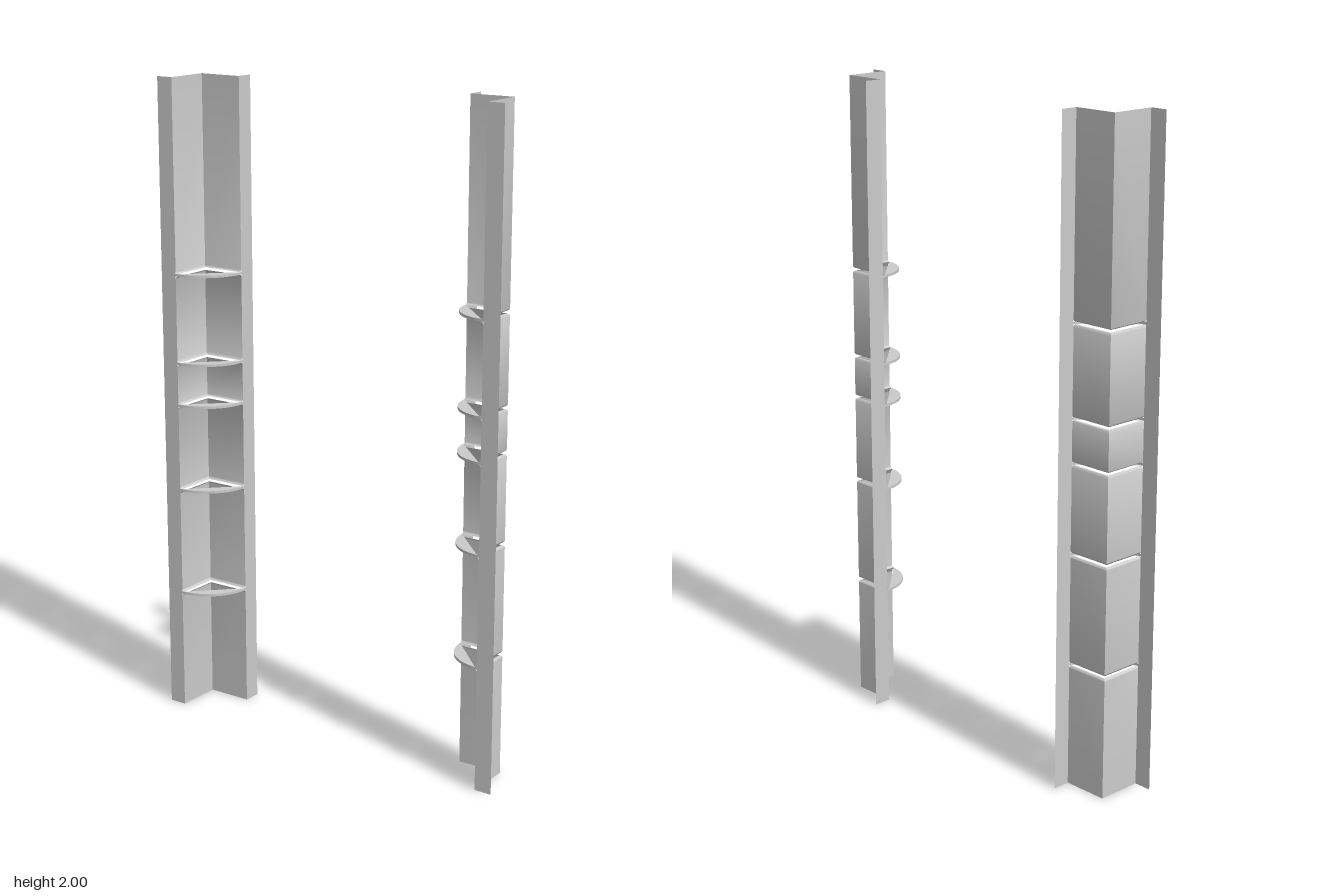
import * as THREE from 'three';
import { toCreasedNormals } from 'three/addons/utils/BufferGeometryUtils.js';

const HEIGHT = 2;
const WALL = 0.142;               // width of each wall of the angle
const FLANGE = 0.055;             // width of the outer lips
const CX = 0.548, CZ = -0.043;    // corner of the angle
const SHELVES = [0.38, 0.72, 0.993, 1.126, 1.403];
const HALF = 0.004;               // half thickness of a folded shelf
const BEND = 0.007;               // radius of the bend into a shelf

const material = new THREE.MeshStandardMaterial({ color: 0xcccccc, side: THREE.DoubleSide });

function part(name, geometry) {
  const mesh = new THREE.Mesh(geometry, material);
  mesh.name = name;
  return mesh;
}

// Surface through rows of [x, y, z] points
function loft(rows) {
  const n = rows[0].length, index = [];
  for (let r = 0; r < rows.length - 1; r++) {
    for (let i = 0; i < n - 1; i++) {
      const a = r * n + i, b = a + 1, c = a + n, d = c + 1;
      index.push(a, b, d, a, d, c);
    }
  }
  const geometry = new THREE.BufferGeometry();
  geometry.setAttribute('position', new THREE.Float32BufferAttribute(rows.flat(2), 3));
  geometry.setIndex(index);
  return toCreasedNormals(geometry, 0.7);
}

// L-shaped row of the wall, moved inward by d
const wallRow = (d, y) => [
  [CX - d, y, CZ + WALL], [CX - d, y, CZ + d], [CX - WALL, y, CZ + d],
];

// Rows of the rounded bend from the wall into a shelf; side is -1 below, 1 above
function bendRows(y, side) {
  const rows = [];
  for (let i = 0; i <= 5; i++) {
    const t = (i / 5) * Math.PI / 2;
    rows.push(wallRow(BEND * (1 - Math.cos(t)), y + side * (HALF + BEND * (1 - Math.sin(t)))));
  }
  return rows;
}

// Hollow quarter-round shelf, open at the back
function createShelf(y) {
  const shelf = new THREE.Group();
  shelf.name = 'shelf';
  const inset = Math.asin(BEND / WALL);
  const outline = new THREE.Shape();
  outline.moveTo(-BEND, -BEND);
  outline.absarc(0, 0, WALL, Math.PI + inset, 1.5 * Math.PI - inset, false);
  outline.closePath();
  for (const side of [-1, 1]) {
    const plate = new THREE.ShapeGeometry(outline, 24);
    plate.rotateX(side * -Math.PI / 2);
    if (side < 0) plate.scale(1, 1, -1);
    // Mirroring flips the lower plate, so restore its outward winding and normals
    if (side < 0) {
      plate.index.array.reverse();
      plate.computeVertexNormals();
    }
    plate.translate(0, side * HALF, 0);
    // Lower plate faces down
    if (plate.attributes.normal.getY(0) * side < 0) {
      plate.index.array.reverse();
      plate.computeVertexNormals();
    }
    shelf.add(part(side > 0 ? 'shelfTop' : 'shelfUnderside', plate));
  }
  shelf.add(part('shelfRim', new THREE.CylinderGeometry(
    WALL, WALL, 2 * HALF, 24, 1, true, -Math.PI / 2, Math.PI / 2)));
  shelf.position.set(CX, y, CZ);
  return shelf;
}

function createRail(name) {
  const rail = new THREE.Group();
  rail.name = name;

  // Wall panels between the shelves
  let rows = [wallRow(0, 0)];
  for (const y of SHELVES) {
    rail.add(part('wallPanel', loft([...rows, ...bendRows(y, -1)])));
    rows = bendRows(y, 1).reverse();
    rail.add(createShelf(y));
  }
  rail.add(part('wallPanel', loft([...rows, wallRow(0, HEIGHT)])));

  // Full-height lips along both outer edges
  const frontLip = new THREE.PlaneGeometry(FLANGE, HEIGHT);
  frontLip.translate(CX + FLANGE / 2, HEIGHT / 2, CZ + WALL);
  rail.add(part('frontLip', frontLip));
  const backLip = new THREE.PlaneGeometry(FLANGE, HEIGHT);
  backLip.rotateY(-Math.PI / 2);
  backLip.translate(CX - WALL, HEIGHT / 2, CZ - FLANGE / 2);
  rail.add(part('backLip', backLip));
  return rail;
}

export function createModel() {
  const model = new THREE.Group();
  model.name = 'cornerRails';
  const right = createRail('rightRail');
  right.scale.x = -1;
  model.add(createRail('leftRail'), right);
  return model;
}
